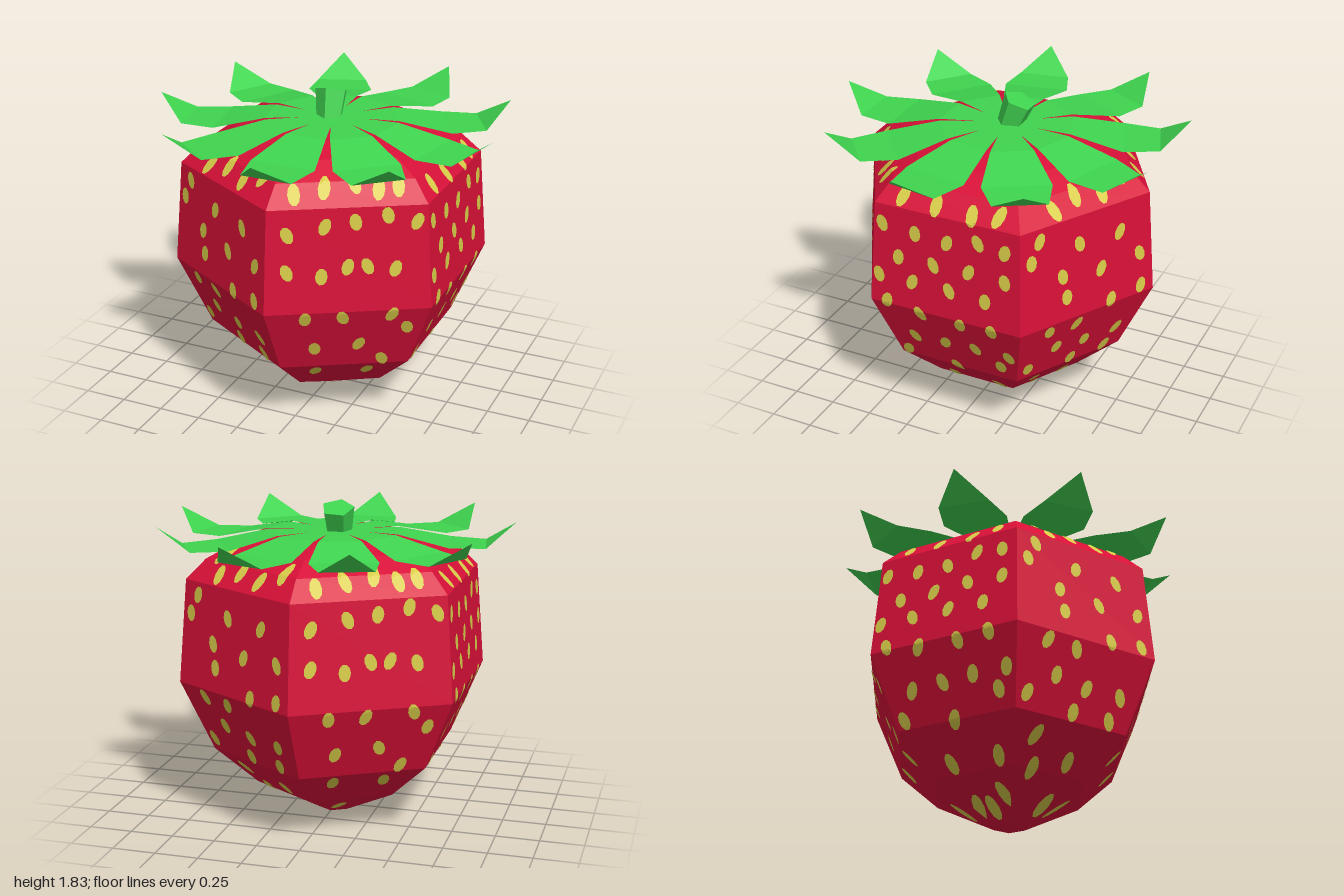
import * as THREE from 'three';

const COS30 = Math.cos(Math.PI / 6);
const CENTER_Z = -0.03;

// Berry profile: [corner radius, height]
const PROFILE = [[0.1, 0], [0.465, 0.19], [0.715, 0.415], [0.905, 0.83], [0.855, 1.42],
  [0.74, 1.53], [0.58, 1.6], [0.4, 1.645]];

// Seed layouts for one side of the berry: [fraction across, height]
const SEEDS_A = [[.15, 1.48], [.35, 1.5], [.56, 1.52], [.72, 1.49], [.86, 1.5],
  [.13, 1.28], [.36, 1.32], [.55, 1.34], [.75, 1.37], [.93, 1.33],
  [.13, 1.07], [.34, 1.04], [.5, 1.09], [.62, 1.09], [.79, 1.07],
  [.24, .79], [.47, .79], [.77, .8], [.89, .7], [.28, .56], [.59, .585], [.78, .46],
  [.26, .36], [.71, .35], [.35, .1]];
const SEEDS_B = [[.16, 1.47], [.41, 1.46], [.67, 1.45], [.86, 1.47],
  [.06, 1.31], [.29, 1.29], [.51, 1.28], [.72, 1.32], [.9, 1.3],
  [.18, 1.13], [.42, 1.13], [.66, 1.14], [.9, 1.13], [.05, 1], [.28, 1], [.53, 1], [.77, .99],
  [.11, .85], [.33, .81], [.6, .8], [.81, .81], [.21, .6], [.45, .61], [.68, .62], [.93, .62],
  [.08, .46], [.49, .42], [.87, .52], [.28, .24], [.83, .24], [.85, .1], [.5, .06], [.15, .07]];
const SEEDS_C = [[.12, 1.56], [.27, 1.47], [.46, 1.5], [.67, 1.48], [.87, 1.53],
  [.14, 1.35], [.08, 1.24], [.44, 1.26], [.75, 1.25], [.31, 1.1], [.34, .97], [.6, 1.07], [.9, 1.08],
  [.67, .86], [.9, .88], [.22, .78], [.43, .77], [.31, .62], [.56, .59], [.84, .59], [.09, .5],
  [.49, .46], [.81, .46], [.21, .33], [.25, .2], [.64, .25], [.8, .08]];

function flat(geometry) {
  const g = geometry.index ? geometry.toNonIndexed() : geometry;
  g.computeVertexNormals();
  return g;
}

// Corner radius and outward slope of the berry at height y
function profileAt(y) {
  let i = 0;
  while (i < PROFILE.length - 2 && y > PROFILE[i + 1][1]) i++;
  const [r0, y0] = PROFILE[i], [r1, y1] = PROFILE[i + 1];
  const dr = (r1 - r0) * COS30, dy = y1 - y0, len = Math.hypot(dr, dy);
  return { radius: r0 + (r1 - r0) * (y - y0) / dy, out: dy / len, up: -dr / len };
}

// Thin oval wrapped onto one side of the berry
function seedGeometry(angle, across, height, tilt) {
  const g = new THREE.RingGeometry(0, 1, 10, 3);
  const p = g.attributes.position;
  const mid = (across - 0.5) * profileAt(height).radius;
  for (let i = 0; i < p.count; i++) {
    const dy = p.getY(i) * 0.048;
    const y = Math.max(0.005, height + dy);
    const { radius, out, up } = profileAt(y);
    const u = THREE.MathUtils.clamp(mid + p.getX(i) * 0.034 + dy * tilt, -radius / 2, radius / 2);
    const d = radius * COS30 + out * 0.005;
    p.setXYZ(i,
      Math.sin(angle) * d + Math.cos(angle) * u,
      y + up * 0.005,
      Math.cos(angle) * d - Math.sin(angle) * u);
  }
  return flat(g);
}

// Leaf cross-sections: [distance from centre, half width, height]
const LEAF = [[0, 0, 1.665], [0.17, 0.062, 1.662], [0.36, 0.118, 1.66], [0.65, 0.187, 1.6],
  [0.85, 0.147, 1.595], [1.015, 0, 1.72]];

function leafGeometry() {
  const pos = [], index = [];
  LEAF.forEach(([r, w, y], i) => {
    pos.push(-w, y, r, w, y, r);
    if (i === 0) return;
    const a = 2 * (i - 1);
    if (i > 1) index.push(a, a + 2, a + 1);
    if (i < LEAF.length - 1) index.push(a + 1, a + 2, a + 3);
  });
  const g = new THREE.BufferGeometry();
  g.setAttribute('position', new THREE.Float32BufferAttribute(pos, 3));
  g.setIndex(index);
  return flat(g);
}

export function createModel() {
  const model = new THREE.Group();
  model.name = 'strawberry';
  const red = new THREE.MeshStandardMaterial({ color: 0xd81038 });
  red.name = 'berry red';
  const yellow = new THREE.MeshStandardMaterial({ color: 0xd8cc48 });
  yellow.name = 'seed yellow';
  const green = new THREE.MeshStandardMaterial({ color: 0x3fd44f, side: THREE.DoubleSide });
  green.name = 'leaf green';

  const add = (parent, name, geometry, material) => {
    const mesh = new THREE.Mesh(geometry, material);
    mesh.name = name;
    parent.add(mesh);
    return mesh;
  };

  // Six-sided berry
  const outline = [[0, 0], ...PROFILE, [0, 1.645]].map(([r, y]) => new THREE.Vector2(r, y));
  add(model, 'berry', flat(new THREE.LatheGeometry(outline, 6)), red).position.z = CENTER_Z;

  // Seeds on each side
  const seeds = new THREE.Group();
  seeds.name = 'seeds';
  seeds.position.z = CENTER_Z;
  [SEEDS_A, SEEDS_B, SEEDS_C, SEEDS_A, SEEDS_B, SEEDS_C].forEach((layout, side) => {
    const angle = (side + 0.5) * Math.PI / 3;
    // The last side is the front left one
    layout.forEach(([t, y], i) =>
      add(seeds, 'seed', seedGeometry(angle, t, y, 0.25 * Math.sin(i * 2.3 + side)), yellow));
  });
  model.add(seeds);

  // Crown of nine leaves
  const crown = new THREE.Group();
  crown.name = 'leafCrown';
  crown.position.z = CENTER_Z;
  const leaf = leafGeometry();
  for (let i = 0; i < 9; i++) add(crown, 'leaf', leaf, green).rotation.y = i * Math.PI * 2 / 9;
  model.add(crown);

  // Five-sided stem leaning back
  const stem = add(model, 'stem', flat(new THREE.CylinderGeometry(0.095, 0.072, 0.19, 5)), green);
  stem.position.set(-0.025, 1.707, -0.06);
  stem.rotation.set(-0.36, 0, 0.06);

  return model;
}
